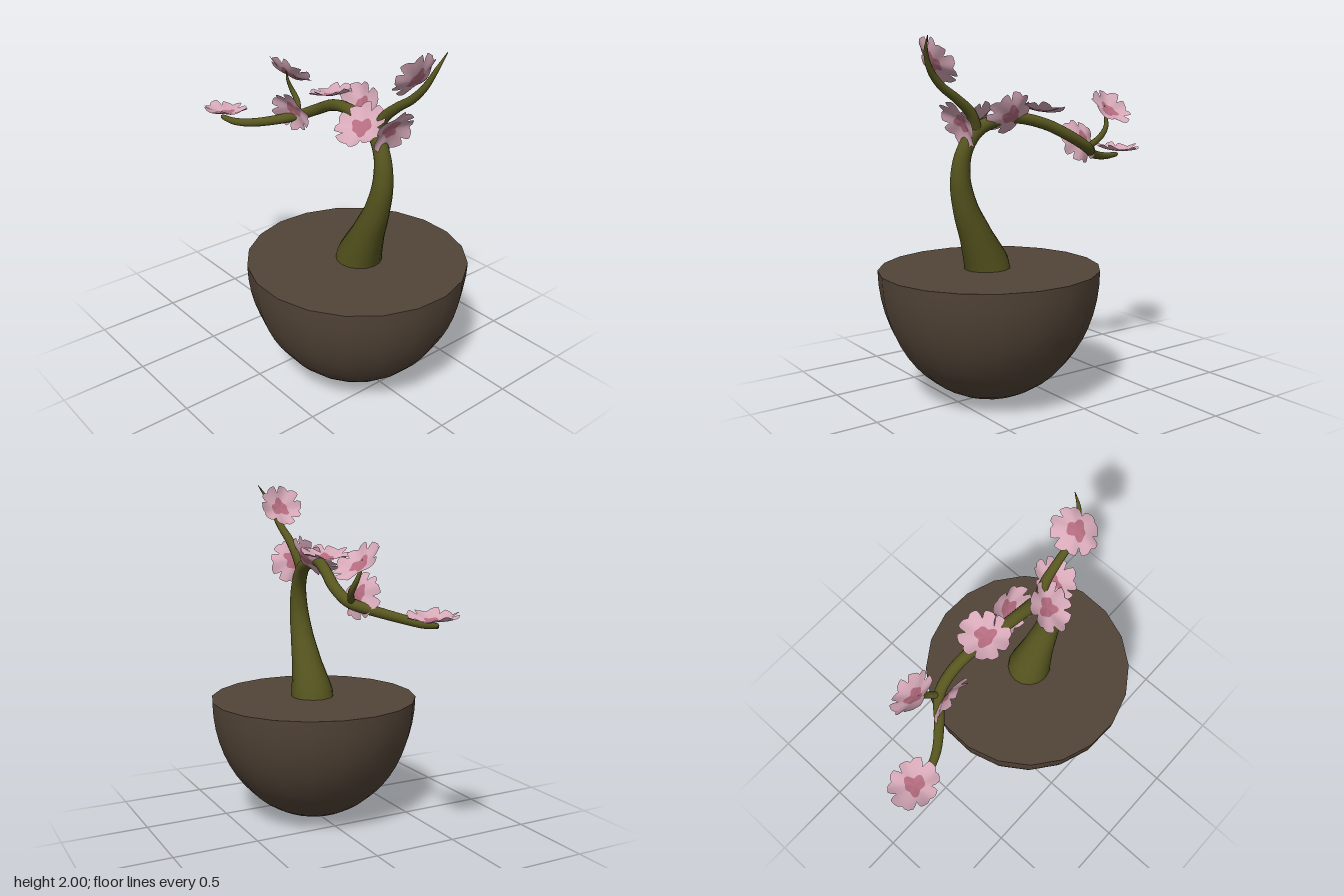
import * as THREE from 'three';

const soil = new THREE.MeshStandardMaterial({ name: 'brown pot', color: 0x524437 });
const bark = new THREE.MeshStandardMaterial({ name: 'olive bark', color: 0x57561f });
const pink = new THREE.MeshStandardMaterial({ name: 'petal pink', color: 0xd6a8b8, side: THREE.DoubleSide });
const rose = new THREE.MeshStandardMaterial({ name: 'deep rose', color: 0xb46c7f, side: THREE.DoubleSide });

// Tapered tube through points [x, y, z, radius]
function limb(name, pts, segments, sides) {
  const curve = new THREE.CatmullRomCurve3(pts.map(p => new THREE.Vector3(p[0], p[1], p[2])));
  const geo = new THREE.TubeGeometry(curve, segments, 1, sides);
  const pos = geo.attributes.position;
  const v = new THREE.Vector3();
  for (let i = 0; i <= segments; i++) {
    const c = curve.getPointAt(i / segments);
    const k = curve.getUtoTmapping(i / segments) * (pts.length - 1);
    const a = Math.min(Math.floor(k), pts.length - 2);
    const r = THREE.MathUtils.lerp(pts[a][3], pts[a + 1][3], k - a);
    for (let j = 0; j <= sides; j++) {
      const n = i * (sides + 1) + j;
      v.fromBufferAttribute(pos, n).sub(c).multiplyScalar(r).add(c);
      pos.setXYZ(n, v.x, v.y, v.z);
    }
  }
  const mesh = new THREE.Mesh(geo, bark);
  mesh.name = name;
  return mesh;
}

// Cupped five-petal blossom facing +y, with a rose heart in the inner rings
function blossomGeometry() {
  const around = 80, rings = 6, pos = [], heart = [], petals = [];
  for (let i = 0; i <= rings; i++) {
    for (let j = 0; j <= around; j++) {
      const a = (j / around) * Math.PI * 2;
      const t = ((j / around) * 5) % 1 - 0.5;
      const gap = Math.exp(-(((Math.abs(t) - 0.5) / 0.07) ** 2));
      const notch = Math.exp(-((t / 0.08) ** 2));
      const edge = 0.136 * (1 - 0.3 * gap - 0.1 * notch + 0.05 * Math.sin(2 * a + 1));
      const core = 0.052 * (1 + 0.18 * Math.sin(3 * a) + 0.12 * Math.cos(5 * a));
      const r = i <= 2 ? core * i / 2 : THREE.MathUtils.lerp(core, edge, (i - 2) / (rings - 2));
      const q = r / 0.136;
      pos.push(r * Math.cos(a), 0.035 * q * q + 0.01 * q * q * Math.cos(5 * a + 0.6) - 0.012, r * Math.sin(a));
    }
  }
  for (let i = 0; i < rings; i++) {
    for (let j = 0; j < around; j++) {
      const a = i * (around + 1) + j, b = a + around + 1;
      (i < 2 ? heart : petals).push(a, a + 1, b, b, a + 1, b + 1);
    }
  }
  const geo = new THREE.BufferGeometry();
  geo.setAttribute('position', new THREE.Float32BufferAttribute(pos, 3));
  geo.setIndex([...heart, ...petals]);
  geo.addGroup(0, heart.length, 0);
  geo.addGroup(heart.length, petals.length, 1);
  geo.computeVertexNormals();
  return geo;
}

export function createModel() {
  const model = new THREE.Group();
  model.name = 'bonsaiTree';

  // Half-round pot with a flat top, twenty sides
  const R = 0.62, H = 0.74, start = THREE.MathUtils.degToRad(7.4);
  const profile = [];
  for (let i = 0; i <= 14; i++) {
    const a = (i / 14) * Math.PI / 2;
    profile.push(new THREE.Vector2(R * Math.sin(a), H - H * Math.cos(a)));
  }
  const bowl = new THREE.Mesh(new THREE.LatheGeometry(profile, 20, start), soil);
  bowl.name = 'potBowl';
  const top = new THREE.Mesh(
    new THREE.LatheGeometry([new THREE.Vector2(R, H), new THREE.Vector2(0, H)], 20, start), soil);
  top.name = 'potTop';
  bowl.position.x = top.position.x = 0.28;
  model.add(bowl, top);

  // Trunk sweeping over into the long left-hand branch
  model.add(limb('trunk', [
    [0.28, 0.68, 0, 0.125], [0.305, 0.77, 0, 0.128], [0.37, 0.93, 0, 0.092], [0.435, 1.09, 0, 0.07],
    [0.468, 1.25, -0.005, 0.056], [0.447, 1.4, -0.015, 0.045], [0.37, 1.51, -0.025, 0.04],
    [0.25, 1.558, -0.03, 0.035], [0.12, 1.57, -0.045, 0.032], [-0.05, 1.53, -0.085, 0.032],
    [-0.22, 1.45, -0.112, 0.032], [-0.35, 1.385, -0.09, 0.031], [-0.46, 1.345, 0.01, 0.028],
    [-0.58, 1.315, 0.1, 0.025], [-0.7, 1.3, 0.145, 0.021], [-0.8, 1.305, 0.16, 0.014], [-0.815, 1.307, 0.16, 0.001],
  ], 110, 16));
  model.add(limb('upperBranch', [
    [0.37, 1.49, -0.025, 0.035], [0.42, 1.6, -0.045, 0.03], [0.51, 1.68, -0.05, 0.025], [0.61, 1.75, -0.055, 0.022],
    [0.68, 1.83, -0.07, 0.018], [0.72, 1.92, -0.1, 0.012], [0.737, 2, -0.15, 0.002],
  ], 40, 10));
  model.add(limb('twig', [
    [-0.36, 1.39, -0.09, 0.02], [-0.42, 1.45, -0.125, 0.018], [-0.465, 1.51, -0.12, 0.014],
    [-0.475, 1.57, -0.1, 0.009], [-0.475, 1.625, -0.09, 0.002],
  ], 24, 8));

  // Blossoms: position, facing direction, spin
  const geo = blossomGeometry();
  const up = new THREE.Vector3(0, 1, 0);
  [
    [[-0.785, 1.34, 0.142], [-0.05, 1, -0.08], 0.3],
    [[-0.49, 1.605, -0.12], [-0.1, 0.72, -0.65], 1.2],
    [[-0.345, 1.425, -0.035], [0.15, -0.35, 0.92], 0.7],
    [[-0.015, 1.615, -0.07], [-0.22, 1, 0], 2.1],
    [[0.19, 1.59, -0.085], [0.05, 0.5, 0.85], 0.1],
    [[0.35, 1.555, 0.05], [0.2, 0.8, 0.55], 1.7],
    [[0.485, 1.55, -0.04], [0.88, -0.42, 0], 0.9],
    [[0.64, 1.87, -0.045], [-0.85, 0.5, 0.05], 2.6],
  ].forEach(([p, n, spin], i) => {
    const flower = new THREE.Mesh(geo, [rose, pink]);
    flower.name = `blossom${i + 1}`;
    flower.position.set(...p);
    flower.quaternion.setFromUnitVectors(up, new THREE.Vector3(...n).normalize());
    flower.rotateY(spin);
    model.add(flower);
  });
  return model;
}
